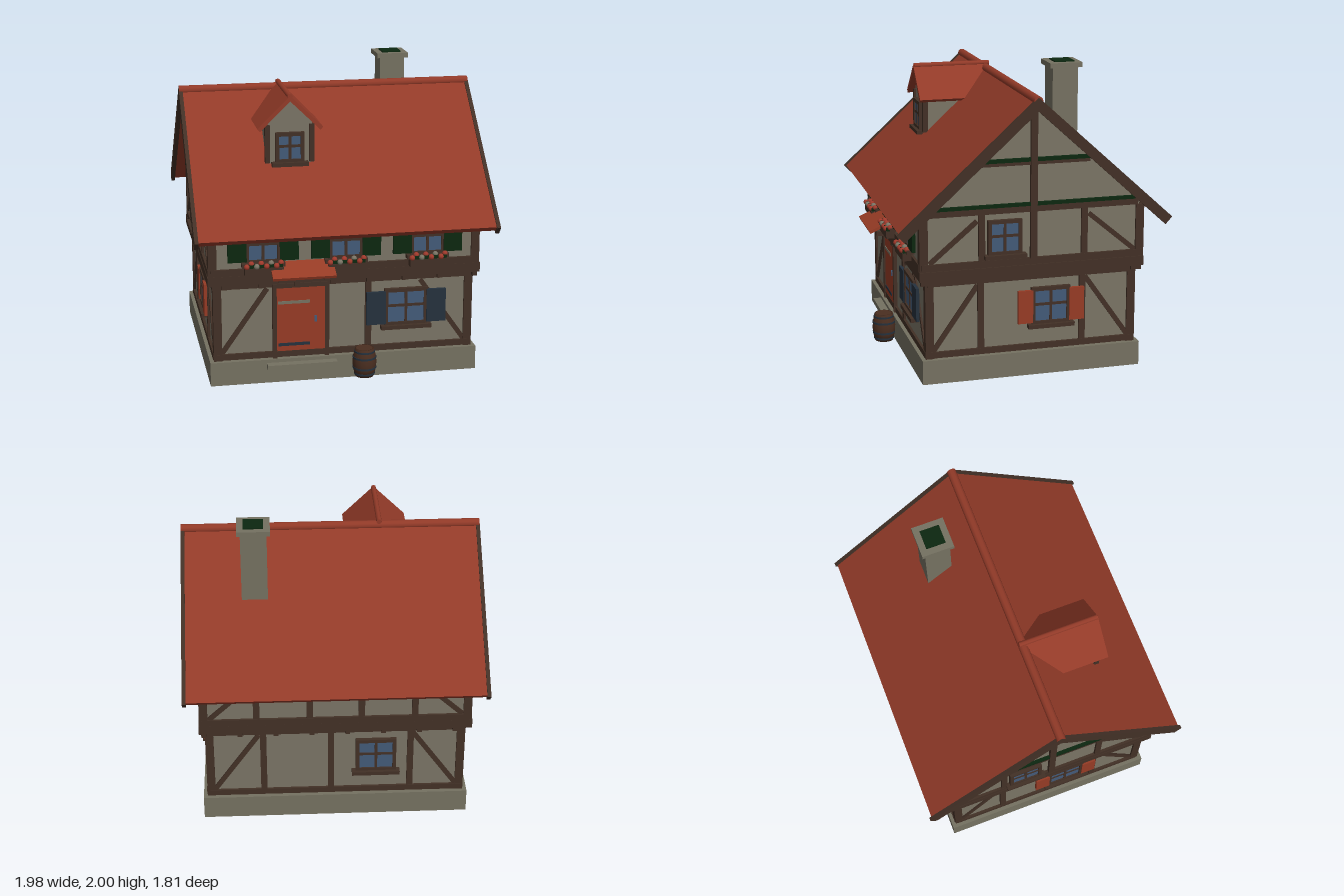
import * as THREE from 'three';

const mat = (name, color) => {
  const m = new THREE.MeshStandardMaterial({ color });
  m.name = name;
  return m;
};
const M = {
  plaster: mat('plaster', 0x7a7465),
  stone: mat('stone', 0x757161),
  wood: mat('timber', 0x423026),
  roof: mat('roof tile', 0x923a28),
  red: mat('painted red', 0x963b25),
  green: mat('dark green', 0x0c2710),
  glass: mat('window glass', 0x435a78),
  blue: mat('slate blue', 0x25313d),
  barrel: mat('barrel brown', 0x4a2e20),
  flower: mat('flower red', 0xa03a2c),
};

function add(parent, name, geo, m, x = 0, y = 0, z = 0) {
  const mesh = new THREE.Mesh(geo, m);
  mesh.name = name;
  mesh.position.set(x, y, z);
  parent.add(mesh);
  return mesh;
}
const box = (p, name, m, w, h, d, x, y, z) => add(p, name, new THREE.BoxGeometry(w, h, d), m, x, y, z);
function group(p, name, x = 0, y = 0, z = 0, ry = 0) {
  const g = new THREE.Group();
  g.name = name;
  g.position.set(x, y, z);
  g.rotation.y = ry;
  p.add(g);
  return g;
}
function prism(points, depth) {
  const s = new THREE.Shape(points.map(([x, y]) => new THREE.Vector2(x, y)));
  return new THREE.ExtrudeGeometry(s, { depth, bevelEnabled: false }).translate(0, 0, -depth / 2);
}
// Gable roof slab with eaves cut square to the slope
function chevron(half, eave, apex, t, depth) {
  const len = Math.hypot(half, apex - eave), nx = (apex - eave) / len, ny = half / len;
  const ix = half - t * nx, iy = eave - t * ny, ia = apex - t / ny;
  return prism([[0, apex], [-half, eave], [-ix, iy], [0, ia], [ix, iy], [half, eave]], depth);
}

// Timbers lie on a wall whose local z points outwards
const T = 0.03;
const post = (p, u, y0, y1, w = 0.042) => box(p, 'post', M.wood, w, y1 - y0, T, u, (y0 + y1) / 2, 0);
const rail = (p, u0, u1, y, h = 0.04) => box(p, 'rail', M.wood, u1 - u0, h, T + 0.004, (u0 + u1) / 2, y, 0);
function brace(p, u0, y0, u1, y1) {
  const b = box(p, 'brace', M.wood, Math.hypot(u1 - u0, y1 - y0), 0.032, T - 0.006, (u0 + u1) / 2, (y0 + y1) / 2, 0);
  b.rotation.z = Math.atan2(y1 - y0, u1 - u0);
}

// Four-pane window with frame, sill and optional shutters
function addWindow(p, u, y, w, h, shutter, shutterW = 0.115) {
  const g = group(p, 'window', u, y, 0.01), f = 0.024;
  box(g, 'glass', M.glass, w - f, h - f, 0.016, 0, 0, 0);
  for (const s of [-1, 1]) {
    box(g, 'frameSide', M.wood, f, h, 0.036, s * (w - f) / 2, 0, 0);
    box(g, 'frameRail', M.wood, w, f, 0.036, 0, s * (h - f) / 2, 0);
    if (shutter) box(g, 'shutter', shutter, shutterW, h - 0.03, 0.022, s * (w / 2 - 0.008 + shutterW / 2), 0, 0.013);
  }
  box(g, 'mullion', M.wood, 0.018, h, 0.026, 0, 0, 0);
  box(g, 'transom', M.wood, w, 0.018, 0.026, 0, 0.01, 0);
  box(g, 'sill', M.wood, w + 0.05, 0.026, 0.06, 0, -h / 2 - 0.008, 0.01);
}

function addFlowerBox(p, x) {
  const g = group(p, 'flowerBox', x, 0.79, 0.775);
  box(g, 'planter', M.wood, 0.25, 0.05, 0.06, 0, 0, 0);
  box(g, 'foliage', M.green, 0.24, 0.03, 0.05, 0, 0.03, 0);
  for (let i = 0; i < 8; i++) {
    const m = i % 3 === 2 ? M.plaster : M.flower;
    add(g, 'blossom', new THREE.IcosahedronGeometry(0.019, 1), m,
      -0.112 + i * 0.032, 0.036 + 0.012 * (i % 2), i % 2 ? 0.0 : 0.024);
  }
}

function addSide(root, sign) {
  const ry = sign * Math.PI / 2;
  const low = group(root, 'lowerSideWall', sign * 0.85, 0, 0, ry);
  rail(low, -0.69, 0.69, 0.185);
  rail(low, -0.69, 0.69, 0.665, 0.045);
  for (const s of [-1, 1]) {
    post(low, s * 0.34, 0.18, 0.67);
    brace(low, s * 0.66, 0.2, s * 0.36, 0.63);
  }
  addWindow(low, 0.125, 0.46, 0.26, 0.25, M.red, 0.1);

  const up = group(root, 'upperSideWall', sign * 0.88, 0, 0, ry);
  rail(up, -0.73, 0.73, 0.775, 0.045);
  rail(up, -0.7, 0.7, 1.122, 0.045);
  rail(up, -0.37, 0.37, 1.42, 0.03);
  box(up, 'gableTrim', M.green, 1.36, 0.022, T + 0.012, 0, 1.15, 0);
  box(up, 'gableTrim', M.green, 0.74, 0.024, T + 0.012, 0, 1.438, 0);
  post(up, 0, 0.78, 1.75, 0.044).scale.z = 1.6;
  for (const s of [-1, 1]) {
    post(up, s * 0.34, 0.78, 1.11);
    brace(up, s * 0.68, 0.8, s * 0.37, 1.06);
  }
  addWindow(up, -0.19, 0.945, 0.225, 0.23);
}

function addDormer(root) {
  const g = group(root, 'dormer', -0.32);
  const wall = prism([[-0.15, 1.41], [0.15, 1.41], [0.15, 1.68], [0, 1.83], [-0.15, 1.68]], 0.45);
  add(g, 'dormerWall', wall, M.plaster, 0, 0, 0.24);
  add(g, 'dormerRoof', chevron(0.215, 1.655, 1.865, 0.026, 0.51), M.roof, 0, 0, 0.255);
  const ridge = add(g, 'dormerRidge', new THREE.CylinderGeometry(0.018, 0.018, 0.53, 8), M.roof, 0, 1.858, 0.24);
  ridge.rotation.x = Math.PI / 2;
  for (const s of [-1, 1]) box(g, 'dormerPost', M.wood, 0.032, 0.25, 0.035, s * 0.145, 1.545, 0.463);
  addWindow(group(g, 'dormerFront', 0, 0, 0.466), 0, 1.52, 0.19, 0.2);
}

function addDoor(p) {
  const g = group(p, 'door', -0.29, 0, 0);
  box(g, 'doorLeaf', M.red, 0.32, 0.48, 0.03, 0, 0.405, 0);
  box(g, 'kickBoard', M.wood, 0.2, 0.035, 0.034, 0.02, 0.188, 0);
  for (const s of [-1, 1]) box(g, 'doorJamb', M.wood, 0.028, 0.5, 0.05, s * 0.173, 0.41, 0);
  box(g, 'lintel', M.wood, 0.374, 0.03, 0.05, 0, 0.657, 0);
  box(g, 'upperHinge', M.stone, 0.21, 0.02, 0.038, -0.045, 0.54, 0);
  box(g, 'lowerHinge', M.blue, 0.21, 0.02, 0.038, -0.045, 0.25, 0);
  box(g, 'handle', M.glass, 0.014, 0.04, 0.05, 0.097, 0.42, 0);
  const canopy = box(g, 'canopy', M.red, 0.41, 0.02, 0.17, 0, 0.79, 0.11);
  canopy.rotation.x = 0.42;
  for (const s of [-1, 1]) box(g, 'canopyBracket', M.wood, 0.025, 0.03, 0.1, s * 0.15, 0.73, 0.08);
}

function addBarrel(root) {
  const g = group(root, 'barrel', 0.11, 0.05, 0.83);
  const profile = [[0, 0], [0.062, 0], [0.074, 0.05], [0.079, 0.095], [0.074, 0.14], [0.062, 0.19], [0.054, 0.19], [0.052, 0.18], [0, 0.18]];
  add(g, 'staves', new THREE.LatheGeometry(profile.map(([r, y]) => new THREE.Vector2(r, y)), 14), M.barrel);
  for (const [y, r] of [[0.02, 0.069], [0.06, 0.078], [0.13, 0.078], [0.17, 0.069]])
    add(g, 'hoop', new THREE.CylinderGeometry(r, r, 0.013, 14), M.blue, 0, y, 0).scale.y = y > 0.169 ? 0.9 : 1;
  add(g, 'lid', new THREE.CylinderGeometry(0.056, 0.056, 0.006, 14), M.barrel, 0, 0.183, 0);
}

export function createModel() {
  const root = new THREE.Group();
  root.name = 'halfTimberedHouse';

  // Plinth, walls and jetty beams
  box(root, 'plinth', M.stone, 1.78, 0.16, 1.46, 0, 0.08, 0);
  box(root, 'doorStep', M.stone, 0.46, 0.035, 0.06, -0.29, 0.12, 0.755);
  box(root, 'lowerWalls', M.plaster, 1.7, 0.56, 1.38, 0, 0.43, 0);
  const upper = prism([[-0.73, 0.7], [0.73, 0.7], [0.73, 1.1], [0, 1.77], [-0.73, 1.1]], 1.76);
  add(root, 'upperWalls', upper, M.plaster).rotation.y = Math.PI / 2;
  box(root, 'jettyBeam', M.wood, 1.8, 0.062, 1.49, 0, 0.72, 0);
  for (const sx of [-1, 1]) for (const sz of [-1, 1]) {
    box(root, 'lowerCornerPost', M.wood, 0.055, 0.53, 0.055, sx * 0.836, 0.425, sz * 0.676);
    box(root, 'upperCornerPost', M.wood, 0.055, 0.36, 0.055, sx * 0.866, 0.92, sz * 0.716);
  }
  for (const sz of [-1, 1]) for (let i = 0; i < 8; i++)
    box(root, 'joistEnd', M.wood, 0.032, 0.035, 0.07, -0.79 + i * 0.237, 0.675, sz * 0.7);

  // Long walls
  for (const s of [-1, 1]) {
    const ry = s > 0 ? 0 : Math.PI;
    const low = group(root, s > 0 ? 'lowerFront' : 'lowerBack', 0, 0, s * 0.69, ry);
    const up = group(root, s > 0 ? 'upperFront' : 'upperBack', 0, 0, s * 0.73, ry);
    rail(low, -0.85, 0.85, 0.185);
    rail(low, -0.85, 0.85, 0.67, 0.04);
    rail(up, -0.88, 0.88, 0.775, 0.045);
    rail(up, -0.88, 0.88, 1.09, 0.04);
    for (const k of [-1, 1]) brace(low, k * 0.81, 0.21, k * 0.51, 0.64);
    if (s > 0) {
      post(low, 0.16, 0.18, 0.67);
      addDoor(low);
      addWindow(low, 0.412, 0.465, 0.29, 0.255, M.blue, 0.13);
      for (const x of [-0.54, 0, 0.54]) {
        addWindow(up, x, 0.95, 0.23, 0.235, M.green, 0.122);
        addFlowerBox(root, x);
      }
    } else {
      for (const u of [-0.48, -0.03, 0.5]) post(low, u, 0.18, 0.67);
      addWindow(low, 0.27, 0.465, 0.27, 0.25);
      for (const u of [-0.52, -0.17, 0.17, 0.52]) post(up, u, 0.78, 1.1);
      for (const k of [-1, 1]) brace(up, k * 0.83, 0.8, k * 0.55, 1.06);
    }
  }
  addSide(root, 1);
  addSide(root, -1);

  // Main roof
  add(root, 'roof', chevron(0.885, 1.03, 1.838, 0.04, 1.94), M.roof).rotation.y = Math.PI / 2;
  for (const s of [-1, 1])
    add(root, 'bargeboard', chevron(0.9, 1.028, 1.848, 0.065, 0.025), M.wood, s * 0.977).rotation.y = Math.PI / 2;
  add(root, 'ridgeCap', new THREE.CylinderGeometry(0.03, 0.03, 1.975, 10), M.roof, 0, 1.825, 0).rotation.z = Math.PI / 2;
  addDormer(root);

  // Chimney
  const c = group(root, 'chimney', 0.51, 0, -0.295);
  box(c, 'stack', M.stone, 0.17, 0.56, 0.17, 0, 1.68, 0);
  box(c, 'cap', M.stone, 0.215, 0.032, 0.215, 0, 1.976, 0);
  box(c, 'flue', M.green, 0.13, 0.008, 0.13, 0, 1.996, 0);

  addBarrel(root);
  return root;
}
